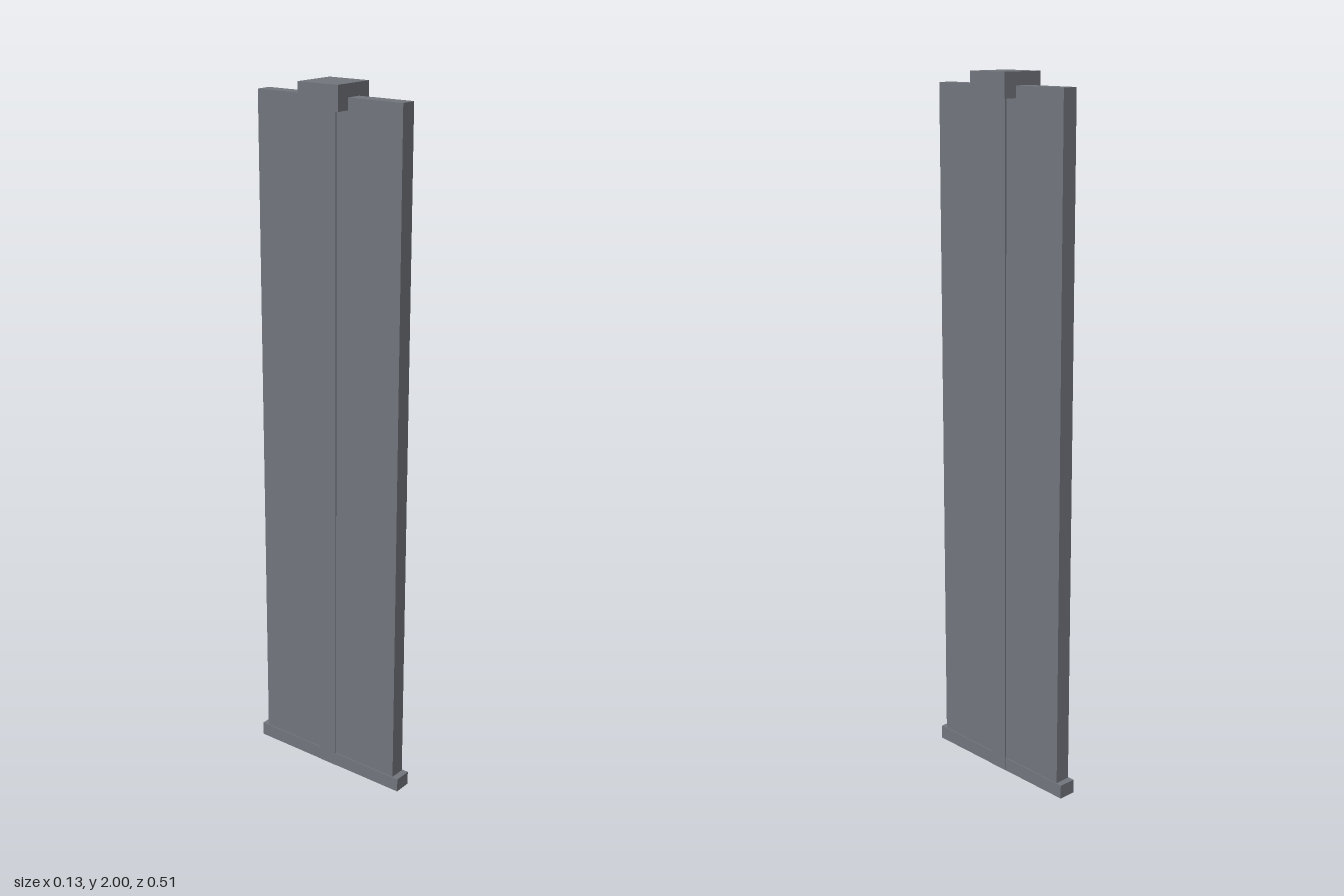
import * as THREE from 'three';

export function createModel() {
  const group = new THREE.Group();
  const steel = new THREE.MeshStandardMaterial({ color: 0x72767d });
  steel.name = 'grey steel';

  // Box centred on the vertical axis, spanning y0 to y1
  const block = (name, width, depth, y0, y1) => {
    const mesh = new THREE.Mesh(new THREE.BoxGeometry(width, y1 - y0, depth), steel);
    mesh.name = name;
    mesh.position.y = (y0 + y1) / 2;
    group.add(mesh);
  };

  block('panel', 0.046, 0.474, 0.01, 1.965);
  block('baseRail', 0.052, 0.513, 0, 0.04);
  block('centrePost', 0.054, 0.056, 0, 1.96); // stands slightly proud of the panel
  block('postCap', 0.13, 0.13, 1.933, 2);

  return group;
}
